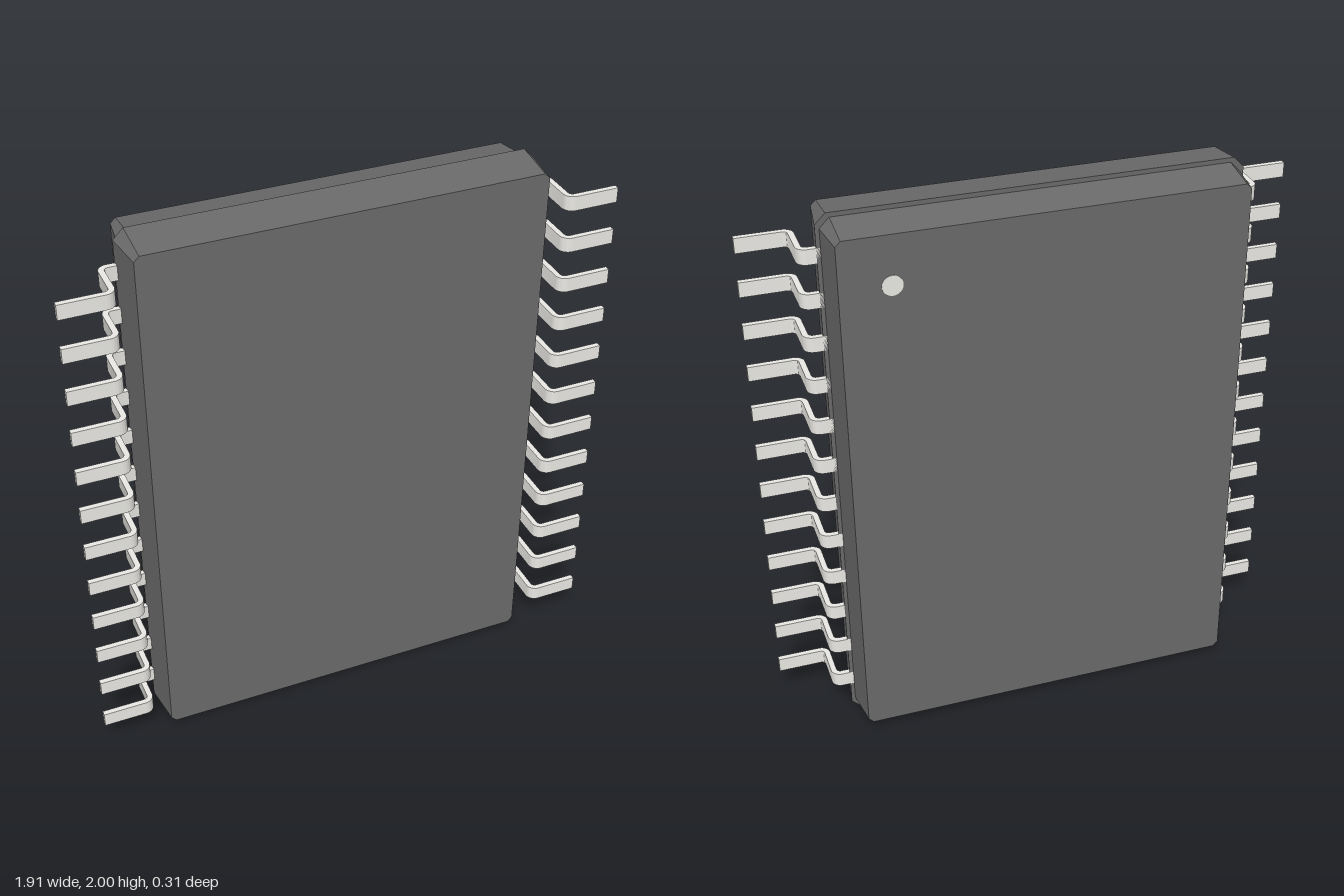
import * as THREE from 'three';
import { toCreasedNormals } from 'three/addons/utils/BufferGeometryUtils.js';

const bodyMat = new THREE.MeshStandardMaterial({ color: 0x6b6a6a });
const metalMat = new THREE.MeshStandardMaterial({ color: 0xeae9e4 });

const SEAM = -0.018;

// Rectangle with cut corners, counter-clockwise seen from +z
function outline(hw, hh, c, z) {
  return [
    [hw, -hh + c], [hw, hh - c], [hw - c, hh], [-hw + c, hh],
    [-hw, hh - c], [-hw, -hh + c], [-hw + c, -hh], [hw - c, -hh],
  ].map(([x, y]) => [x, y, z]);
}

// Closed tapered block between a rear and a front outline
function taperedBlock(rear, front) {
  const n = rear.length, idx = [];
  for (let i = 0; i < n; i++) {
    const j = (i + 1) % n;
    idx.push(i, j, n + j, i, n + j, n + i);
    if (i > 0 && i < n - 1) idx.push(0, i + 1, i, n, n + i, n + i + 1);
  }
  const g = new THREE.BufferGeometry();
  g.setAttribute('position', new THREE.Float32BufferAttribute([...rear, ...front].flat(), 3));
  g.setIndex(idx);
  const flat = g.toNonIndexed();
  flat.computeVertexNormals();
  return flat;
}

// Gull-wing lead: profile in x/z, extruded along y and centred on y = 0
function leadGeometry() {
  const t = 0.02, r = 0.015, R = r + t, width = 0.053;
  const z0 = SEAM, zFoot = 0.156, xA = 0.752, xB = xA + R + r, xEnd = 0.957;
  const zA = z0 + R, zB = zFoot - R, H = Math.PI / 2;
  const s = new THREE.Shape();
  s.moveTo(0.68, z0);
  s.lineTo(xA, z0);
  s.absarc(xA, zA, R, -H, 0, false);
  s.lineTo(xA + R, zB);
  s.absarc(xB, zB, r, Math.PI, H, true);
  s.lineTo(xEnd, zFoot - t);
  s.lineTo(xEnd, zFoot);
  s.lineTo(xB, zFoot);
  s.absarc(xB, zB, R, H, Math.PI, false);
  s.lineTo(xA + r, zA);
  s.absarc(xA, zA, r, 0, -H, true);
  s.lineTo(0.68, z0 + t);
  s.closePath();
  const g = new THREE.ExtrudeGeometry(s, { depth: width, bevelEnabled: false, curveSegments: 8 });
  g.translate(0, 0, -width / 2);
  g.rotateX(H);
  return toCreasedNormals(g, 0.6);
}

export function createModel() {
  const model = new THREE.Group();
  model.name = 'chipPackage';
  const add = (name, geometry, material, x = 0, y = 0, z = 0) => {
    const mesh = new THREE.Mesh(geometry, material);
    mesh.name = name;
    mesh.position.set(x, y, z);
    model.add(mesh);
    return mesh;
  };

  // Two moulded halves meeting at a stepped seam
  add('bodyFrontHalf', taperedBlock(
    outline(0.725, 1, 0.036, SEAM), outline(0.705, 0.98, 0.018, 0.135)), bodyMat, 0, 1, 0);
  add('bodyRearHalf', taperedBlock(
    outline(0.693, 0.963, 0.018, -0.156), outline(0.711, 0.984, 0.034, SEAM)), bodyMat, 0, 1, 0);

  // Round marker for the first lead
  const dot = new THREE.CylinderGeometry(0.035, 0.035, 0.006, 32);
  dot.rotateX(Math.PI / 2);
  add('orientationDot', dot, metalMat, 0.52, 1.79, -0.1548);

  // Twelve leads down each side
  const lead = leadGeometry();
  for (let i = 0; i < 12; i++) {
    const y = 0.147 + i * 0.1556;
    add(`leftLead${i + 1}`, lead, metalMat, 0, y, 0);
    add(`rightLead${i + 1}`, lead, metalMat, 0, y, 0).rotation.z = Math.PI;
  }
  return model;
}
